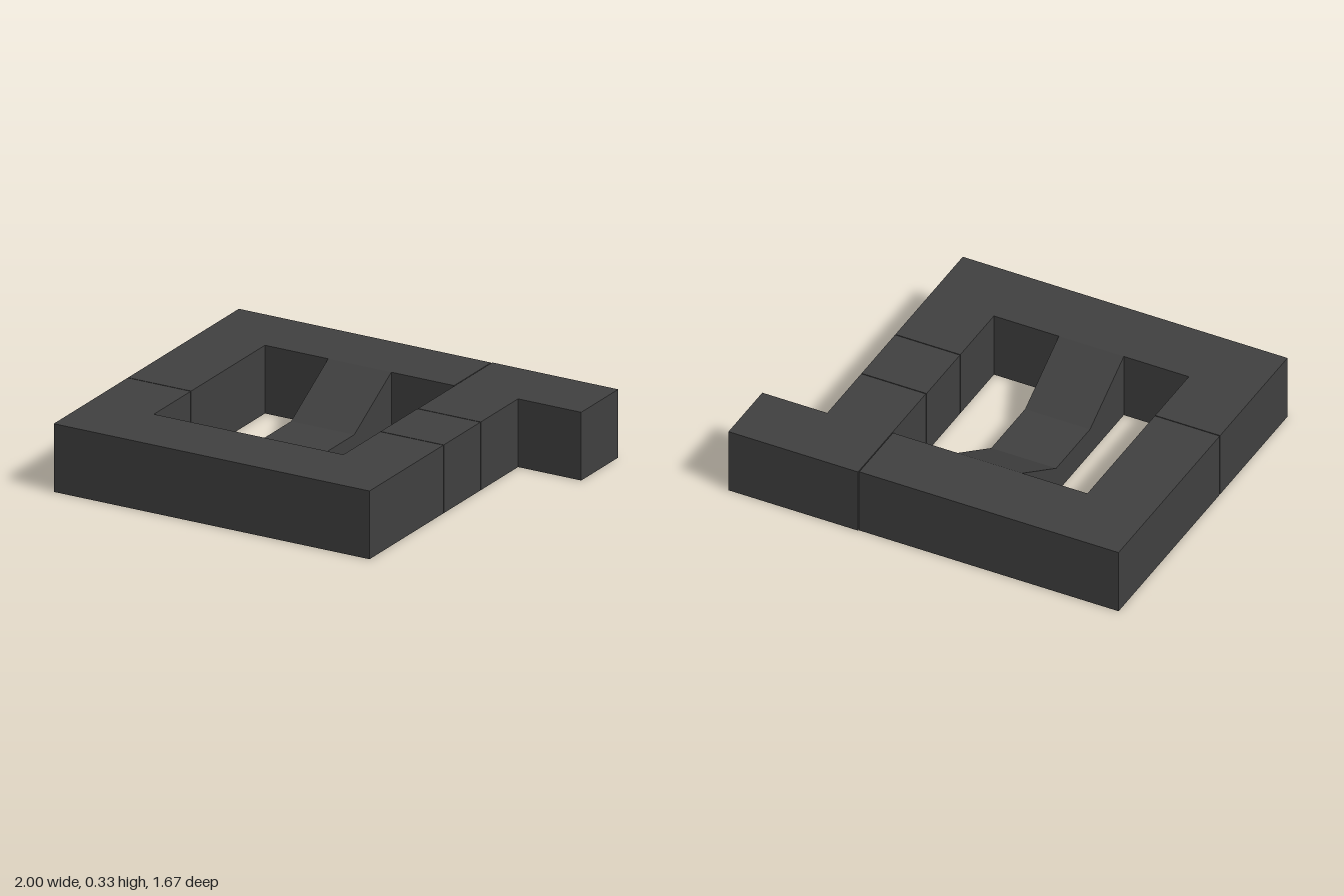
import * as THREE from 'three';

const U = 1 / 3;       // side of one cube cell
const H = U;           // block height
const GAP = 0.002;     // half the hairline joint between blocks

export function createModel() {
  const group = new THREE.Group();
  const charcoal = new THREE.MeshStandardMaterial({ color: 0x404040 });
  charcoal.name = 'charcoal';

  function add(name, geometry) {
    const mesh = new THREE.Mesh(geometry, charcoal);
    mesh.name = name;
    group.add(mesh);
  }

  function extrude(points, depth) {
    const shape = new THREE.Shape(points.map(([a, b]) => new THREE.Vector2(a, b)));
    return new THREE.ExtrudeGeometry(shape, { depth, bevelEnabled: false });
  }

  // Flat block from an outline of [x, z] points, standing on the ground
  function block(name, outline) {
    const g = extrude(outline.map(([x, z]) => [x, -z]), H);
    add(name, g.rotateX(-Math.PI / 2));
  }

  const back = -2.5 * U, backIn = -1.5 * U, frontIn = 1.5 * U, front = 2.5 * U;
  const joint = 0.5 * U;

  // Back rail with the upper part of the left-hand arm
  block('backRail', [
    [-1, back], [U - GAP, back], [U - GAP, backIn], [-2 * U, backIn],
    [-2 * U, joint - GAP], [-1, joint - GAP],
  ]);

  // U-shaped front rail with two short arms
  block('frontRail', [
    [-1, joint + GAP], [-2 * U, joint + GAP], [-2 * U, frontIn], [U, frontIn],
    [U, joint + GAP], [2 * U, joint + GAP], [2 * U, front], [-1, front],
  ]);

  // L-shaped corner with the projecting tab
  block('cornerTab', [
    [U + GAP, back - 0.004], [1, back - 0.004], [1, backIn - 0.004], [2 * U, backIn - 0.004],
    [2 * U, -joint - GAP], [U + GAP, -joint - GAP],
  ]);

  // Single cube between the corner and the front rail
  block('linkCube', [
    [U, -joint + GAP], [2 * U, -joint + GAP], [2 * U, joint - GAP], [U, joint - GAP],
  ]);

  // Middle bar with a sloped dip in its top, profile in z and y
  const dip = 0.14;
  const bar = extrude([
    [backIn, 0], [frontIn, 0], [frontIn, H], [joint, dip], [-joint, dip], [backIn, H],
  ], U);
  add('middleBar', bar.rotateY(-Math.PI / 2));

  return group;
}
